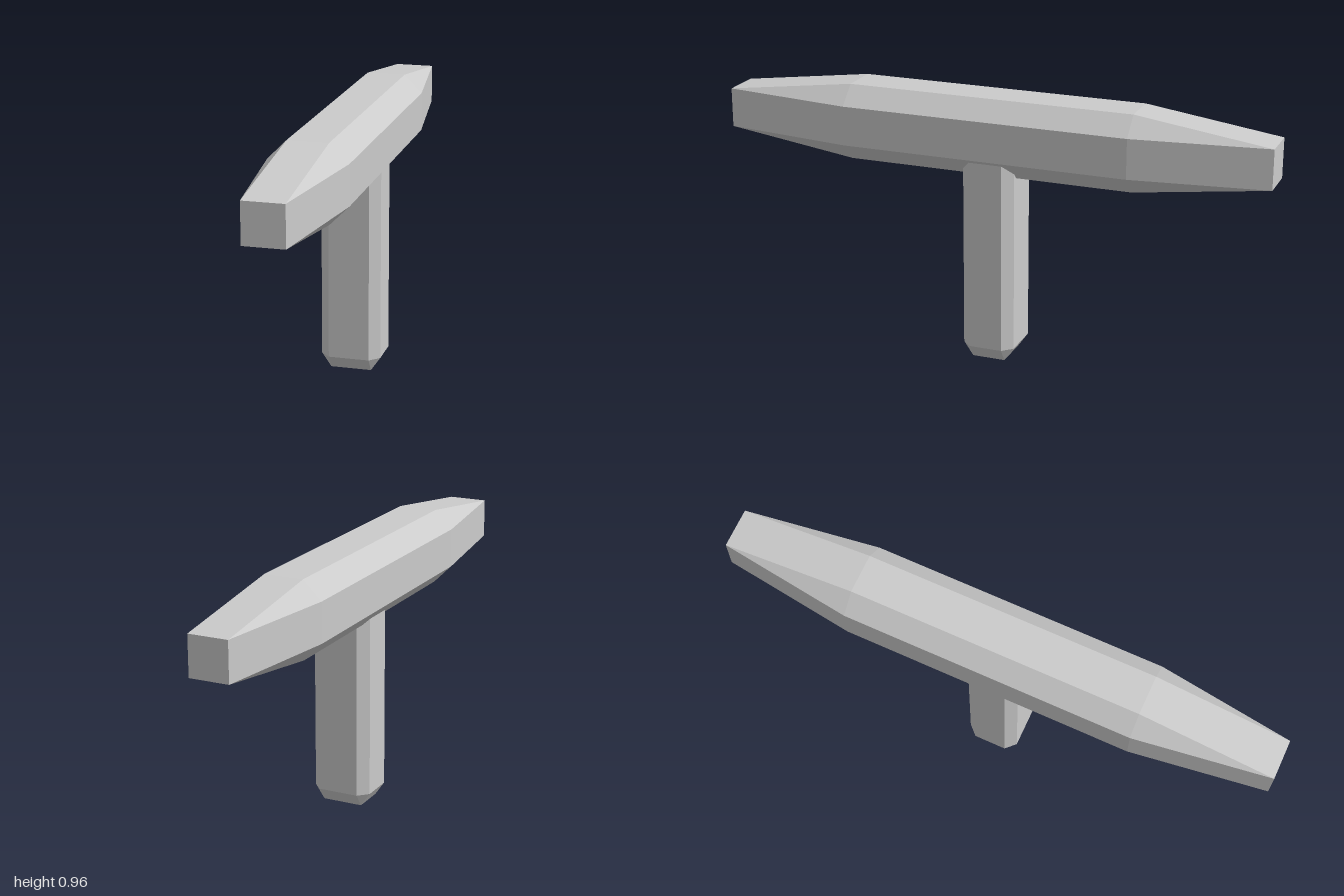
import * as THREE from 'three';
import { ConvexGeometry } from 'three/addons/geometries/ConvexGeometry.js';

const material = new THREE.MeshStandardMaterial({ color: 0xcccccc, flatShading: true });

// Box with every edge bevelled: outer = half extents, inner = half sizes of the flat faces
function bevelledBox(name, outer, inner, position) {
  const points = [];
  for (const sx of [-1, 1]) for (const sy of [-1, 1]) for (const sz of [-1, 1]) {
    for (let axis = 0; axis < 3; axis++) {
      const p = [...inner];
      p[axis] = outer[axis];
      points.push(new THREE.Vector3(sx * p[0], sy * p[1], sz * p[2]));
    }
  }
  const mesh = new THREE.Mesh(new ConvexGeometry(points), material);
  mesh.name = name;
  mesh.position.set(...position);
  return mesh;
}

export function createModel() {
  const model = new THREE.Group();
  model.name = 'hammerShape';

  // Long bar along z, tapering to a square at each end
  model.add(bevelledBox('crossbar', [0.137, 0.137, 1], [0.071, 0.071, 0.52], [0, 0.822, 0]));

  // Upright post, slightly off centre, its top sunk into the bar
  model.add(bevelledBox('post', [0.108, 0.43, 0.095], [0.0735, 0.38, 0.06], [0.0175, 0.43, -0.01]));

  return model;
}
